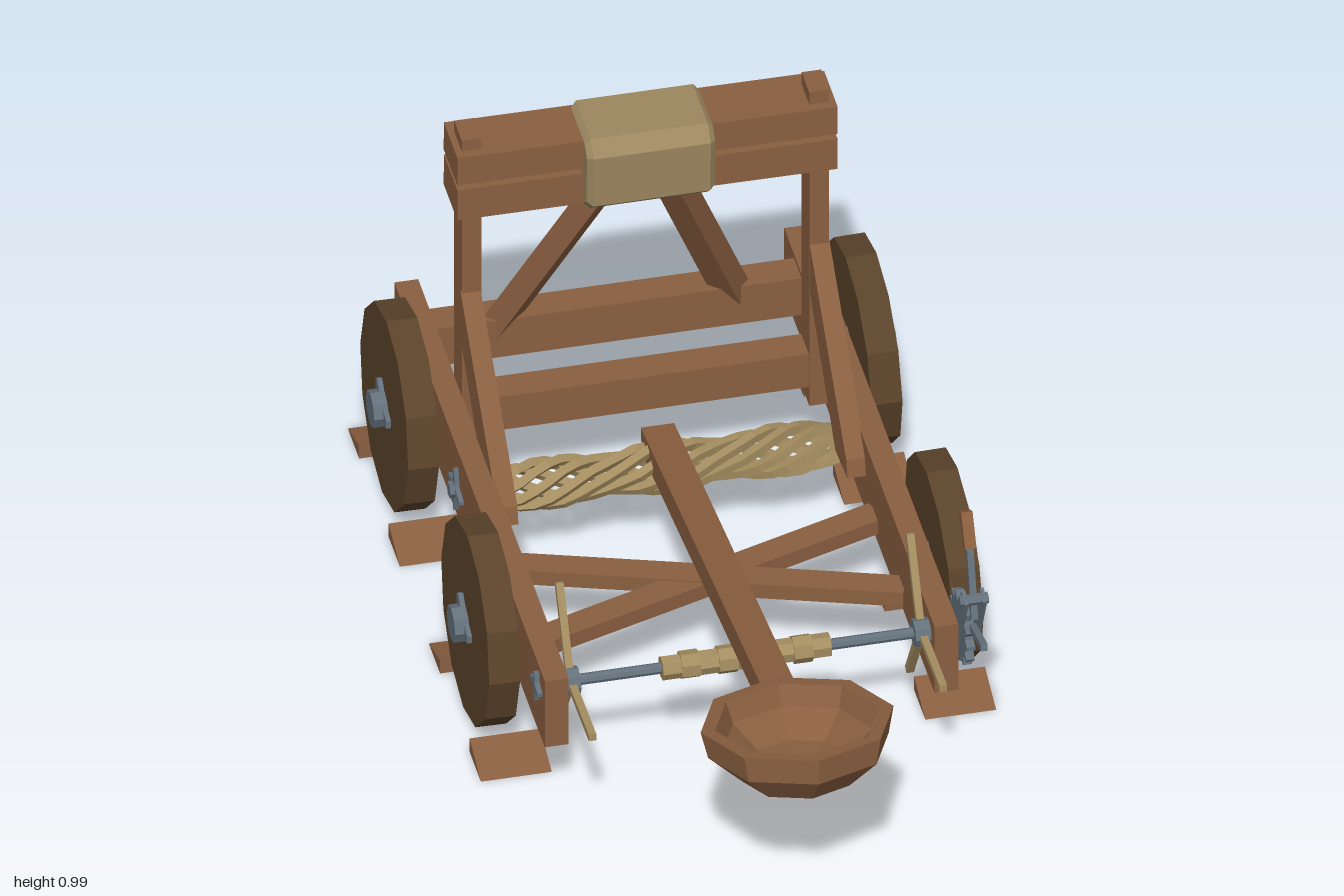
import * as THREE from 'three';

const mat = (name, color) => Object.assign(new THREE.MeshStandardMaterial({ color }), { name });

export function createModel() {
  const model = new THREE.Group();
  model.name = 'catapult';
  const wood = mat('wood', 0x8a5f40);
  const darkWood = mat('dark wood', 0x5b432b);
  const leather = mat('leather', 0x9c8760);
  const rope = mat('rope', 0xa48d60);
  const steel = mat('steel', 0x64717c);
  const V = (x, y, z) => new THREE.Vector3(x, y, z);

  // Adds a faceted mesh
  function add(name, geo, material, parent = model) {
    const g = geo.index ? geo.toNonIndexed() : geo;
    g.computeVertexNormals();
    const m = new THREE.Mesh(g, material);
    m.name = name;
    parent.add(m);
    return m;
  }
  // Box given by its limits on each axis
  function block(name, x0, x1, y0, y1, z0, z1, material = wood) {
    const m = add(name, new THREE.BoxGeometry(x1 - x0, y1 - y0, z1 - z0), material);
    m.position.set((x0 + x1) / 2, (y0 + y1) / 2, (z0 + z1) / 2);
    return m;
  }
  // Square beam between two points
  function beam(name, a, b, w, h, material = wood) {
    const m = add(name, new THREE.BoxGeometry(w, h, a.distanceTo(b)), material);
    m.position.copy(a).add(b).multiplyScalar(0.5);
    m.lookAt(b);
    return m;
  }
  // Cylinder lying along x
  function rod(name, x0, x1, y, z, r, material = steel, sides = 8) {
    const geo = new THREE.CylinderGeometry(r, r, x1 - x0, sides).rotateZ(Math.PI / 2);
    const m = add(name, geo, material);
    m.position.set((x0 + x1) / 2, y, z);
    return m;
  }
  // Outline of [z, y] points extruded along x
  function slab(name, points, x0, x1, material = wood, bevel = 0) {
    const shape = new THREE.Shape(points.map(([z, y]) => new THREE.Vector2(z, y)));
    const geo = new THREE.ExtrudeGeometry(shape, {
      depth: x1 - x0 - 2 * bevel, bevelEnabled: bevel > 0, bevelSegments: 1,
      bevelSize: bevel, bevelThickness: bevel, bevelOffset: -bevel,
    });
    geo.rotateY(-Math.PI / 2).translate(x1 - bevel, 0, 0);
    return add(name, geo, material);
  }
  // Star or gear outline around a centre
  function star(z, y, teeth, rOut, rIn, flat) {
    const pts = [];
    for (let i = 0; i < teeth; i++) {
      const put = (r, t) => {
        const a = (i + t) / teeth * Math.PI * 2;
        pts.push([z + r * Math.cos(a), y + r * Math.sin(a)]);
      };
      put(rOut, -flat);
      put(rOut, flat);
      put(rIn, 0.5 - flat);
      put(rIn, 0.5 + flat);
    }
    return pts;
  }

  // Frame, uprights, wheels and chocks on each side
  for (const s of [-1, 1]) {
    const span = (a, b) => s > 0 ? [a, b] : [-b, -a];
    block('sideRail', ...span(0.385, 0.435), 0.16, 0.33, -1, 0.38);
    block('upright', ...span(0.345, 0.386), 0.18, 0.99, -0.665, -0.595);
    slab('sideBrace', [[-0.6, 0.6], [-0.6, 0.48], [-0.36, 0.24], [-0.25, 0.25], [-0.26, 0.29]],
      ...span(0.346, 0.388));
    beam('rearStrut', V(s * 0.245, 0.29, -0.875), V(s * 0.045, 0.83, -0.65), 0.065, 0.05);
    beam('diagonalBrace', V(-0.39, 0.2 + s * 0.002, -0.045 - s * 0.13),
      V(0.39, 0.2 + s * 0.002, -0.045 + s * 0.13), 0.06, 0.035);

    for (const z of [0.02, -0.723]) {
      const wheel = rod('wheel', ...span(0.455, 0.52), 0.23, z, 0.22, darkWood, 12);
      wheel.rotation.z = s * 0.02;
      rod('axleHub', ...span(0.43, 0.55), 0.23, z, 0.04, steel, 8);
      slab('hubSpikes', star(z, 0.23, 3, 0.062, 0.03, 0.07), ...span(0.515, 0.53), steel);
      for (const d of [-1, 1]) {
        const zc = z + d * 0.135 + 0.001;
        slab('wheelChock', d > 0
          ? [[zc, 0], [zc + 0.104, 0], [zc, 0.034]]
          : [[zc, 0], [zc, 0.034], [zc - 0.104, 0]], ...span(0.393, 0.542));
      }
    }

    // Torsion bundle anchors
    slab('anchorStar', star(-0.415, 0.235, 4, 0.052, 0.018, 0.05), ...span(0.435, 0.445), steel);
    rod('anchorBolt', ...span(0.36, 0.455), 0.235, -0.415, 0.018, steel, 6);

    // Windlass hand spokes
    rod('spokeHub', ...span(0.352, 0.386), 0.28, 0.325, 0.03, steel, 8);
    for (let i = 0; i < 3; i++) {
      const a = 0.03 + 2.07 * i;
      const dir = V(0, Math.sin(a), Math.cos(a));
      const c = V(s * 0.369, 0.28, 0.325);
      beam('handSpoke', c, c.clone().addScaledVector(dir, 0.205), 0.016, 0.016, rope);
    }
  }

  // Cross members
  block('rearCrossbeam', -0.387, 0.387, 0.225, 0.32, -0.91, -0.84);
  block('middleCrossbeam', -0.387, 0.387, 0.225, 0.31, -0.67, -0.6);
  block('lowerTopBeam', -0.4, 0.4, 0.8, 0.877, -0.7, -0.575).rotation.z = -0.005;
  block('upperTopBeam', -0.4, 0.4, 0.89, 0.96, -0.7, -0.575).rotation.z = -0.005;

  // Leather pad wrapped over the top beams
  slab('stopPad', [[-0.57, 0.79], [-0.535, 0.82], [-0.53, 0.945], [-0.56, 0.975],
    [-0.695, 0.975], [-0.712, 0.955], [-0.712, 0.79]], -0.135, 0.135, leather, 0.012);

  // Throwing arm and bowl
  beam('throwingArm', V(0, 0.242, -0.48), V(0, 0.402, 0.63), 0.07, 0.06);
  const bowlProfile = [[0, -0.15], [0.12, -0.125], [0.19, -0.06], [0.203, 0],
    [0.173, 0], [0.158, -0.045], [0.1, -0.095], [0, -0.11]];
  const bowl = add('bowl', new THREE.LatheGeometry(
    bowlProfile.map(([r, y]) => new THREE.Vector2(r, y)), 8), wood);
  bowl.position.set(0, 0.47, 0.797);
  bowl.rotation.x = -0.2;

  // Twisted rope bundle
  const bundle = new THREE.Group();
  bundle.name = 'torsionBundle';
  model.add(bundle);
  for (let k = 0; k < 7; k++) {
    const pts = [];
    for (let i = 0; i <= 14; i++) {
      const t = i / 14;
      const a = k / 7 * Math.PI * 2 + t * Math.PI * 3;
      const r = 0.028 + 0.018 * Math.abs(Math.sin(t * Math.PI * 3));
      pts.push(V(-0.375 + 0.75 * t, 0.218 + r * Math.sin(a), -0.415 + r * Math.cos(a)));
    }
    add('ropeStrand', new THREE.TubeGeometry(new THREE.CatmullRomCurve3(pts), 24, 0.013, 4), rope, bundle);
  }

  // Windlass shaft with wound rope
  rod('windlassShaft', -0.44, 0.485, 0.28, 0.325, 0.012, steel, 8);
  slab('shaftEndStar', star(0.325, 0.28, 4, 0.035, 0.015, 0.08), -0.446, -0.435, steel);
  for (let i = 0; i < 9; i++) {
    const x = -0.178 + i * 0.0394;
    const coil = rod('ropeCoil', x, x + 0.0394, 0.28, 0.325, i % 2 ? 0.03 : 0.026, rope, 7);
    coil.rotation.x = i * 0.4;
  }
  beam('releaseLine', V(0, 0.29, 0.33), V(0, 0.38, 0.5), 0.008, 0.008, steel);

  // Ratchet gear, pawl and hand lever
  slab('ratchetGear', star(0.325, 0.28, 13, 0.08, 0.064, 0.12), 0.447, 0.465, steel);
  for (const x of [0.443, 0.482]) {
    beam('leverPlate', V(x, 0.265, 0.335), V(x, 0.415, 0.405), 0.008, 0.035, steel);
  }
  rod('leverPivot', 0.432, 0.492, 0.405, 0.402, 0.012, steel, 6);
  beam('pawl', V(0.463, 0.35, 0.495), V(0.463, 0.325, 0.39), 0.014, 0.016, steel);
  beam('leverRod', V(0.462, 0.36, 0.408), V(0.462, 0.52, 0.362), 0.014, 0.014, steel);
  beam('leverHandle', V(0.462, 0.51, 0.366), V(0.462, 0.578, 0.328), 0.024, 0.026, wood);

  return model;
}
